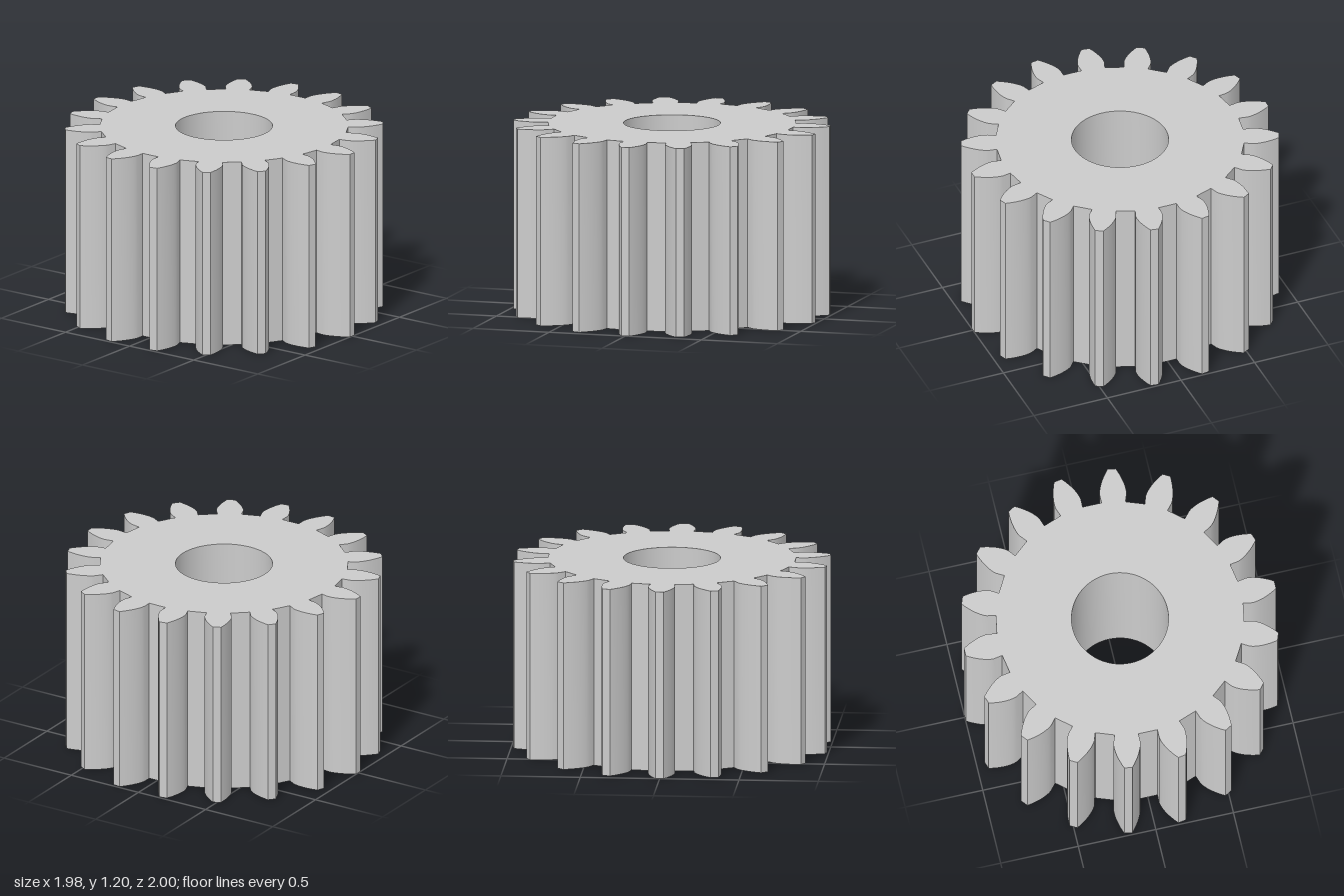
import * as THREE from 'three';
import { toCreasedNormals } from 'three/addons/utils/BufferGeometryUtils.js';

const TEETH = 18;
const HEIGHT = 1.2;
const TIP_R = 1;
const ROOT_R = 0.78;
const BASE_R = 0.835; // involute base circle
const BASE_HALF = 0.102; // half tooth angle at the base circle
const ROOT_HALF = 0.096; // half tooth angle at the root
const BORE_R = 0.305;

// Half angle of a tooth at a radius, narrowing along an involute
function involuteHalfAngle(r) {
  const t = Math.sqrt(Math.max(0, (r / BASE_R) ** 2 - 1));
  return BASE_HALF - (t - Math.atan(t));
}

// One flank from root to tip, as [radius, half angle]
function toothFlank(steps = 8) {
  const flank = [[ROOT_R, ROOT_HALF]];
  for (let i = 0; i <= steps; i++) {
    const r = BASE_R + (TIP_R - BASE_R) * (i / steps);
    flank.push([r, involuteHalfAngle(r)]);
  }
  return flank;
}

export function createModel() {
  const group = new THREE.Group();
  group.name = 'spurGear';

  // Outline: each tooth goes up one flank and down its mirror image
  const flank = toothFlank();
  const points = [];
  for (let k = 0; k < TEETH; k++) {
    const centre = Math.PI / 2 + (k * 2 * Math.PI) / TEETH;
    const add = (r, a) => points.push(new THREE.Vector2(r * Math.cos(a), r * Math.sin(a)));
    flank.forEach(([r, h]) => add(r, centre - h));
    [...flank].reverse().forEach(([r, h]) => add(r, centre + h));
  }
  const shape = new THREE.Shape(points);

  // Round bore through the middle
  const bore = new THREE.Path();
  bore.absarc(0, 0, BORE_R, 0, Math.PI * 2, true);
  shape.holes.push(bore);

  // Toothed body, laid flat with its axis upright
  const extruded = new THREE.ExtrudeGeometry(shape, { depth: HEIGHT, bevelEnabled: false, curveSegments: 32 });
  extruded.rotateX(-Math.PI / 2);
  const body = new THREE.Mesh(
    toCreasedNormals(extruded, 0.5),
    new THREE.MeshStandardMaterial({ color: 0xcccccc })
  );
  body.name = 'toothedBody';
  group.add(body);

  return group;
}
